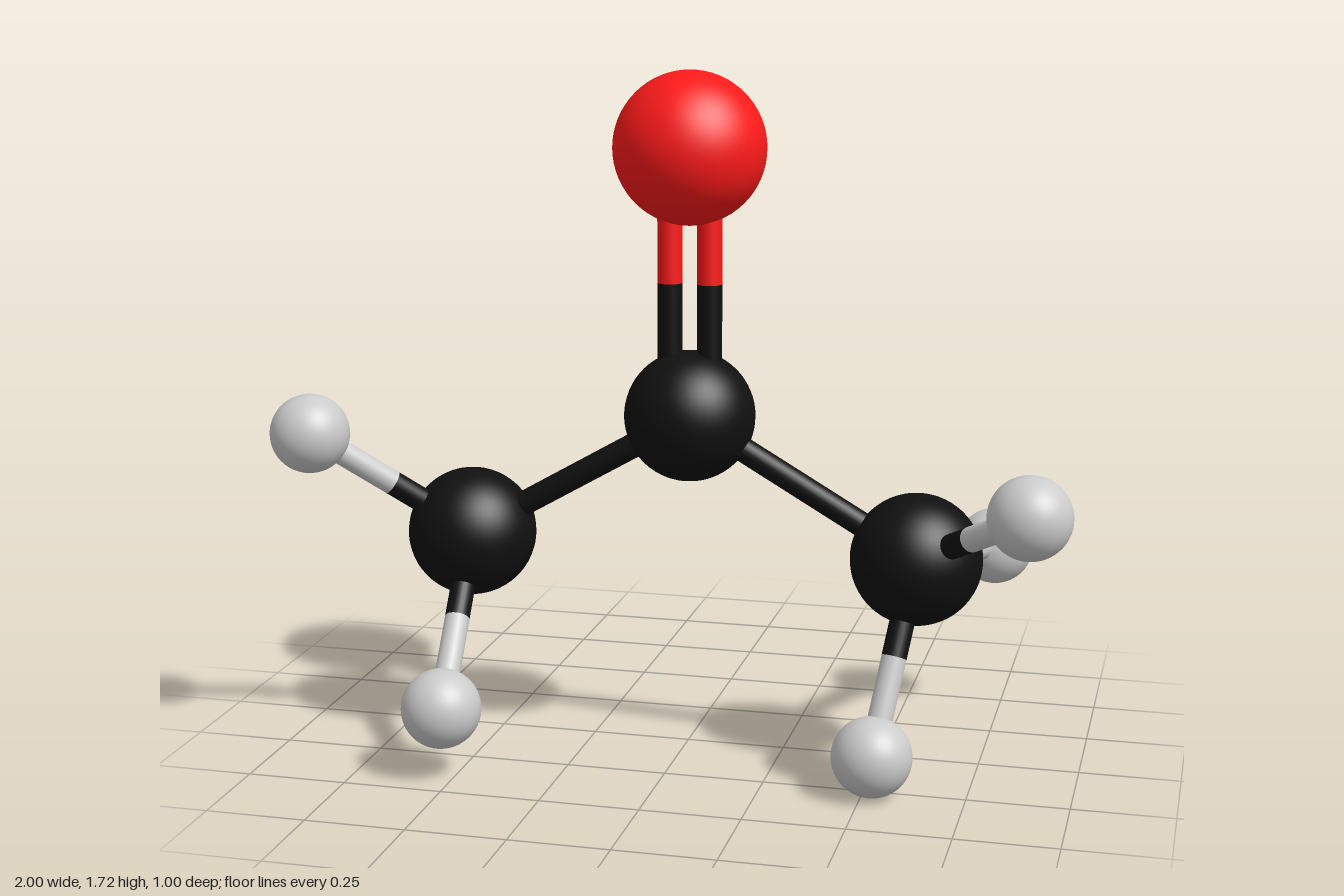
import * as THREE from 'three';

const materials = {
  carbon: new THREE.MeshStandardMaterial({ color: 0x101010 }),
  oxygen: new THREE.MeshStandardMaterial({ color: 0xff1a1a }),
  hydrogen: new THREE.MeshStandardMaterial({ color: 0xcccccc }),
};
const radii = { carbon: 0.163, oxygen: 0.188, hydrogen: 0.099 };
const BOND_RADIUS = 0.031;
const UP = new THREE.Vector3(0, 1, 0);

// Atom ball
function makeAtom(name, element, x, y, z) {
  const mesh = new THREE.Mesh(new THREE.SphereGeometry(radii[element], 48, 32), materials[element]);
  mesh.name = name;
  mesh.position.set(x, y, z);
  mesh.userData.element = element;
  return mesh;
}

// Stick between two atoms, each half in the colour of its own atom
function makeBond(name, a, b, offsetX = 0) {
  const bond = new THREE.Group();
  bond.name = name;
  const middle = a.position.clone().lerp(b.position, 0.5);
  for (const atom of [a, b]) {
    const along = middle.clone().sub(atom.position);
    const half = new THREE.Mesh(
      new THREE.CylinderGeometry(BOND_RADIUS, BOND_RADIUS, along.length(), 24),
      materials[atom.userData.element]
    );
    half.name = atom.userData.element + 'BondHalf';
    half.position.copy(atom.position).lerp(middle, 0.5);
    half.quaternion.setFromUnitVectors(UP, along.normalize());
    bond.add(half);
  }
  bond.position.x = offsetX;
  return bond;
}

export function createModel() {
  const model = new THREE.Group();
  model.name = 'molecule';

  // Centre carbon with the double-bonded oxygen above it
  const centre = makeAtom('centreCarbon', 'carbon', 0.02, 0.877, 0.068);
  const oxygen = makeAtom('oxygen', 'oxygen', 0.02, 1.54, 0.068);
  model.add(centre, oxygen);
  model.add(makeBond('doubleBondLeft', centre, oxygen, 0.05));
  model.add(makeBond('doubleBondRight', centre, oxygen, -0.05));

  // Two side carbons, each carrying three hydrogens
  const sides = [
    { name: 'left', carbon: [0.592, 0.546, 0.068],
      hydrogens: [[0.897, 0.753, 0.398], [0.523, 0.103, 0.277], [0.733, 0.465, -0.4]] },
    { name: 'right', carbon: [-0.553, 0.546, 0.068],
      hydrogens: [[-0.903, 0.828, 0.277], [-0.53, 0.18, 0.398], [-0.693, 0.465, -0.4]] },
  ];
  for (const side of sides) {
    const group = new THREE.Group();
    group.name = side.name + 'Methyl';
    const carbon = makeAtom(side.name + 'Carbon', 'carbon', ...side.carbon);
    group.add(carbon, makeBond(side.name + 'CarbonBond', centre, carbon));
    side.hydrogens.forEach((position, i) => {
      const hydrogen = makeAtom(`${side.name}Hydrogen${i + 1}`, 'hydrogen', ...position);
      group.add(hydrogen, makeBond(`${side.name}HydrogenBond${i + 1}`, carbon, hydrogen));
    });
    model.add(group);
  }
  return model;
}
